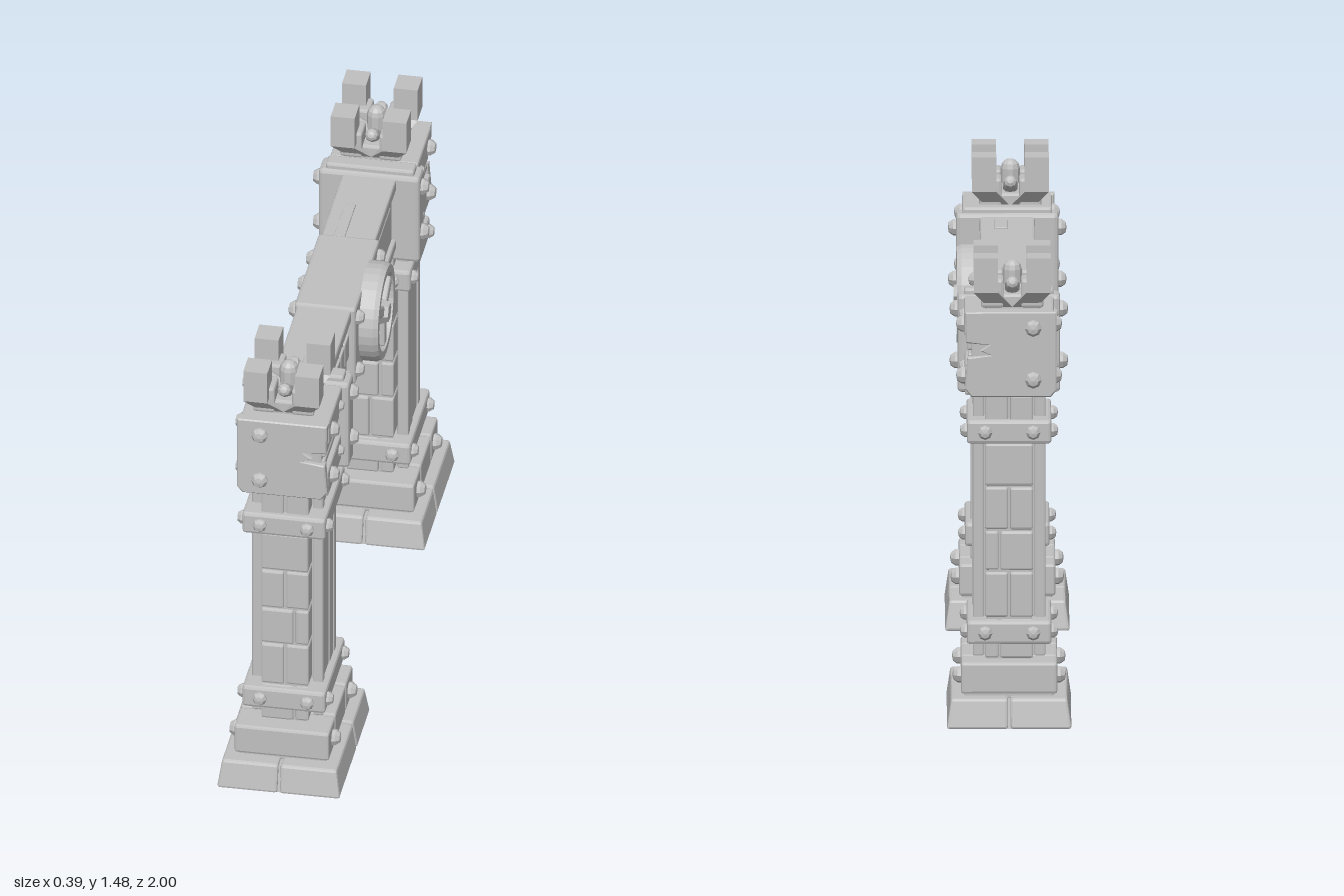
import * as THREE from 'three';
import { RoundedBoxGeometry } from 'three/addons/geometries/RoundedBoxGeometry.js';

export function createModel() {
  const model = new THREE.Group();
  const stone = new THREE.MeshStandardMaterial({ color: 0xc0c0c0, flatShading: true });
  stone.name = 'paleStone';

  const add = (parent, name, geo, x = 0, y = 0, z = 0) => {
    const m = new THREE.Mesh(geo, stone);
    m.name = name;
    m.position.set(x, y, z);
    parent.add(m);
    return m;
  };
  // Chamfered box given by its limits
  const block = (parent, name, x0, x1, y0, y1, z0, z1, r = 0.008) => {
    const w = x1 - x0, h = y1 - y0, d = Math.abs(z1 - z0);
    const geo = new RoundedBoxGeometry(w, h, d, 1, Math.min(r, w / 3, h / 3, d / 3));
    return add(parent, name, geo, (x0 + x1) / 2, (y0 + y1) / 2, (z0 + z1) / 2);
  };
  // Faceted rivet whose head points along an axis
  const rivetGeo = new THREE.LatheGeometry(
    [[0.025, -0.01], [0.025, 0.01], [0.016, 0.023], [0, 0.026]].map(p => new THREE.Vector2(...p)), 8);
  const rivet = (parent, x, y, z, dx, dz, size = 1) => {
    const m = add(parent, 'rivet', rivetGeo, x, y, z);
    m.quaternion.setFromUnitVectors(new THREE.Vector3(0, 1, 0), new THREE.Vector3(dx, 0, dz));
    m.scale.setScalar(size);
  };
  // Narrow the top of a geometry toward a scale
  const taper = (geo, y0, y1, k) => {
    const p = geo.attributes.position;
    for (let i = 0; i < p.count; i++) {
      const f = 1 + (k - 1) * (p.getY(i) - y0) / (y1 - y0);
      p.setXYZ(i, p.getX(i) * f, p.getY(i), p.getZ(i) * f);
    }
    return geo;
  };

  function pillar(s) {
    const g = new THREE.Group();
    g.name = s > 0 ? 'frontPillar' : 'backPillar';
    model.add(g);
    const C = 0.735;
    // Block placed by offsets from the pillar axis, outward is positive
    const b = (name, x0, x1, y0, y1, o0, o1, r) => block(g, name, x0, x1, y0, y1, s * (C + o0), s * (C + o1), r);

    // Stepped base of separate stones
    add(g, 'plinthCore', taper(new THREE.BoxGeometry(0.37, 0.085, 0.51), -0.0425, 0.0425, 0.93), 0, 0.0425, s * C);
    for (const [x0, x1] of [[-0.195, -0.004], [0.004, 0.195]])
      for (const [o0, o1] of [[-0.265, -0.045], [-0.037, 0.265]]) {
        const geo = new RoundedBoxGeometry(x1 - x0, 0.094, o1 - o0, 1, 0.008);
        geo.translate((x0 + x1) / 2, 0, s * (o0 + o1) / 2);
        add(g, 'plinthStone', taper(geo, -0.047, 0.047, 0.93), 0, 0.047, s * C);
      }
    b('stepCore', -0.14, 0.14, 0.08, 0.195, -0.197, 0.197);
    for (const [o0, o1] of [[-0.207, -0.09], [-0.084, 0.09], [0.096, 0.207]])
      b('stepStone', -0.15, 0.15, 0.1, 0.2, o0, o1);
    for (const sx of [-1, 1]) for (const o of [-0.14, 0.14]) rivet(g, sx * 0.15, 0.15, s * (C + o), sx, 0, 1.05);

    // Shaft: brick ends between plank faces
    b('shaftCore', -0.1, 0.1, 0.18, 1.06, -0.085, 0.085);
    b('brickCore', -0.07, 0.07, 0.18, 1.06, -0.143, 0.143);
    const courses = [0.2, 0.33, 0.48, 0.61, 0.75, 0.89, 1.045];
    for (let i = 0; i < 6; i++) {
      const y0 = courses[i] + 0.003, y1 = courses[i + 1] - 0.003;
      if (i === 4) b('brick', -0.075, 0.075, y0, y1, -0.153, 0.153, 0.007);
      else {
        const split = i % 2 ? 0 : 0.03;
        b('brick', -0.075, split - 0.003, y0, y1, -0.153, 0.153, 0.007);
        b('brick', split + 0.003, 0.075, y0, y1, -0.149, 0.149, 0.007);
      }
    }
    for (const sx of [-1, 1])
      for (const [o0, o1, x] of [[0.072, 0.104, 0.113], [-0.014, 0.066, 0.109], [-0.075, -0.019, 0.112], [-0.112, -0.081, 0.115]])
        b('plank', Math.min(sx * 0.08, sx * x), Math.max(sx * 0.08, sx * x), 0.2, 1.045, o0, o1, 0.005);

    // Riveted bands
    for (const [y0, y1] of [[0.25, 0.325], [0.89, 0.965]]) {
      const y = (y0 + y1) / 2;
      b('band', -0.132, 0.132, y0, y1, -0.172, 0.172, 0.01);
      for (const a of [-1, 1]) {
        for (const o of [-0.135, 0.135]) rivet(g, a * 0.13, y, s * (C + o), a, 0, 0.9);
        for (const x of [-0.075, 0.075]) rivet(g, x, y, s * C + a * 0.17, 0, a, 0.9);
      }
    }

    // Head with layered cheek plates
    b('headCore', -0.118, 0.118, 1.04, 1.3, -0.165, 0.155);
    b('lowerCheek', -0.138, 0.138, 1.04, 1.135, -0.08, 0.15);
    b('middleCheek', -0.128, 0.128, 1.15, 1.175, -0.08, 0.15, 0.005);
    b('middleCheek', -0.13, 0.13, 1.185, 1.215, -0.08, 0.15, 0.005);
    b('upperCheek', -0.14, 0.14, 1.23, 1.31, -0.08, 0.15);
    b('strap', -0.16, 0.16, 1.0, 1.31, -0.168, -0.085, 0.012);
    b('strapCap', -0.14, 0.14, 1.29, 1.328, -0.155, -0.1);
    for (const sx of [-1, 1]) for (const y of [1.095, 1.26]) {
      rivet(g, sx * 0.138, y, s * (C + 0.1), sx, 0, 1.05);
      rivet(g, sx * 0.158, y, s * (C - 0.127), sx, 0, 1.05);
      rivet(g, sx * 0.135, y, s * (C - 0.04), sx, 0, 0.75);
    }

    // Chipped end plate
    const plate = new THREE.Shape([[-0.148, 1.06], [-0.13, 1.04], [0.118, 1.04], [0.138, 1.065], [0.13, 1.165],
      [0.055, 1.172], [0.09, 1.187], [0.062, 1.205], [0.135, 1.212], [0.138, 1.31], [-0.148, 1.31]]
      .map(p => new THREE.Vector2(...p)));
    const plateGeo = new THREE.ExtrudeGeometry(plate, { depth: 0.026, bevelSize: 0.004, bevelThickness: 0.004, bevelOffset: -0.004, bevelSegments: 1 });
    plateGeo.translate(0, 0, -0.013);
    add(g, 'endPlate', plateGeo, 0, 0, s * (C + 0.155));
    for (const y of [1.095, 1.26]) rivet(g, -0.075, y, s * (C + 0.17), 0, s, 1.05);

    // Crown: four corner prongs around a rounded knob
    const crown = new THREE.Group();
    crown.name = 'crown';
    crown.position.set(-0.01, 1.31, s * 0.755);
    g.add(crown);
    block(crown, 'crownBase', -0.085, 0.085, -0.01, 0.045, -0.095, 0.095);
    for (const sx of [-1, 1]) for (const sz of [-1, 1]) {
      const arm = block(crown, 'prongArm', -0.035, 0.035, 0, 0.09, -0.04, 0.04);
      arm.position.set(sx * 0.062, 0.05, sz * 0.068);
      // Prong with a foot that leans inward
      const geo = new THREE.BoxGeometry(0.076, 0.165, 0.082, 1, 3, 1);
      const p = geo.attributes.position;
      for (let i = 0; i < p.count; i++) if (p.getY(i) < -0.08) {
        p.setX(i, p.getX(i) - sx * 0.045);
        p.setZ(i, p.getZ(i) - sz * 0.045);
      }
      add(crown, 'prong', geo, sx * 0.082, 0.087, sz * 0.098);
    }
    add(crown, 'knob', new THREE.CapsuleGeometry(0.03, 0.08, 3, 10), 0, 0.068, 0);
    for (let i = 0; i < 4; i++) {
      const a = i * Math.PI / 2;
      const claw = add(crown, 'claw', new THREE.CapsuleGeometry(0.022, 0.06, 3, 8), Math.cos(a) * 0.055, 0.062, Math.sin(a) * 0.055);
      claw.rotation.set(Math.sin(a) * 1.0, 0, -Math.cos(a) * 1.0);
    }

    // Triangular corner brace, drawn in z and y
    const pts = a => a.map(([z, y]) => new THREE.Vector2(s * z, y));
    const shape = new THREE.Shape(pts([[0.58, 0.82], [0.55, 0.81], [0.53, 0.83], [0.53, 0.87], [0.385, 1.0], [0.36, 1.045], [0.58, 1.045]]));
    shape.holes.push(new THREE.Path(pts([[0.535, 0.915], [0.535, 1.01], [0.43, 1.01]])));
    const brace = new THREE.ExtrudeGeometry(shape, { depth: 0.08, bevelEnabled: false });
    brace.translate(0, 0, -0.04);
    brace.rotateY(-Math.PI / 2);
    add(g, 'cornerBrace', brace);
    for (const sx of [-1, 1]) rivet(g, sx * 0.04, 0.845, s * 0.55, sx, 0, 0.7);
  }
  pillar(1);
  pillar(-1);

  // Lintel beam with rims and raised panels
  const beam = new THREE.Group();
  beam.name = 'lintel';
  model.add(beam);
  block(beam, 'beamCore', -0.072, 0.072, 1.045, 1.295, -0.6, 0.6);
  block(beam, 'topRim', -0.086, 0.086, 1.255, 1.3, -0.6, 0.6);
  block(beam, 'bottomRim', -0.086, 0.086, 1.04, 1.08, -0.6, 0.6);
  for (const [z0, z1] of [[0.355, 0.51], [0.285, 0.345], [0.205, 0.275]])
    block(beam, 'raisedPanel', -0.08, 0.08, 1.13, 1.215, z0, z1, 0.004);
  block(beam, 'raisedPanel', -0.08, 0.08, 1.105, 1.235, -0.51, -0.2, 0.004);
  block(beam, 'topInset', 0, 0.04, 1.29, 1.306, 0.39, 0.51, 0.003);
  block(beam, 'topInset', -0.045, -0.01, 1.29, 1.306, -0.4, -0.2, 0.003);
  block(beam, 'centreSleeve', -0.094, 0.1, 1.028, 1.307, -0.21, 0.21, 0.01);
  for (const z of [-0.18, 0.18]) for (const y of [1.07, 1.262]) rivet(beam, 0.1, y, z, 1, 0, 0.95);
  for (const z of [-0.15, 0, 0.15]) for (const y of [1.09, 1.25]) rivet(beam, -0.094, y, z, -1, 0, 1.1);

  // Round boss with a rim and three plain spokes
  const boss = new THREE.Group();
  boss.name = 'roundBoss';
  boss.position.set(0.095, 1.175, 0);
  model.add(boss);
  const dish = new THREE.LatheGeometry([[0.157, 0], [0.157, 0.05], [0.15, 0.065], [0.125, 0.065], [0.115, 0.03], [0, 0.03]]
    .map(p => new THREE.Vector2(...p)), 32);
  dish.rotateZ(-Math.PI / 2);
  add(boss, 'bossRim', dish);
  const hub = new THREE.CylinderGeometry(0.03, 0.05, 0.05, 6);
  hub.rotateZ(-Math.PI / 2);
  add(boss, 'bossHub', hub, 0.05);
  for (let i = 0; i < 3; i++) {
    const geo = new RoundedBoxGeometry(0.035, 0.1, 0.04, 1, 0.008);
    geo.translate(0.045, -0.07, 0);
    add(boss, 'bossSpoke', geo).rotation.x = i * Math.PI * 2 / 3;
  }
  return model;
}
